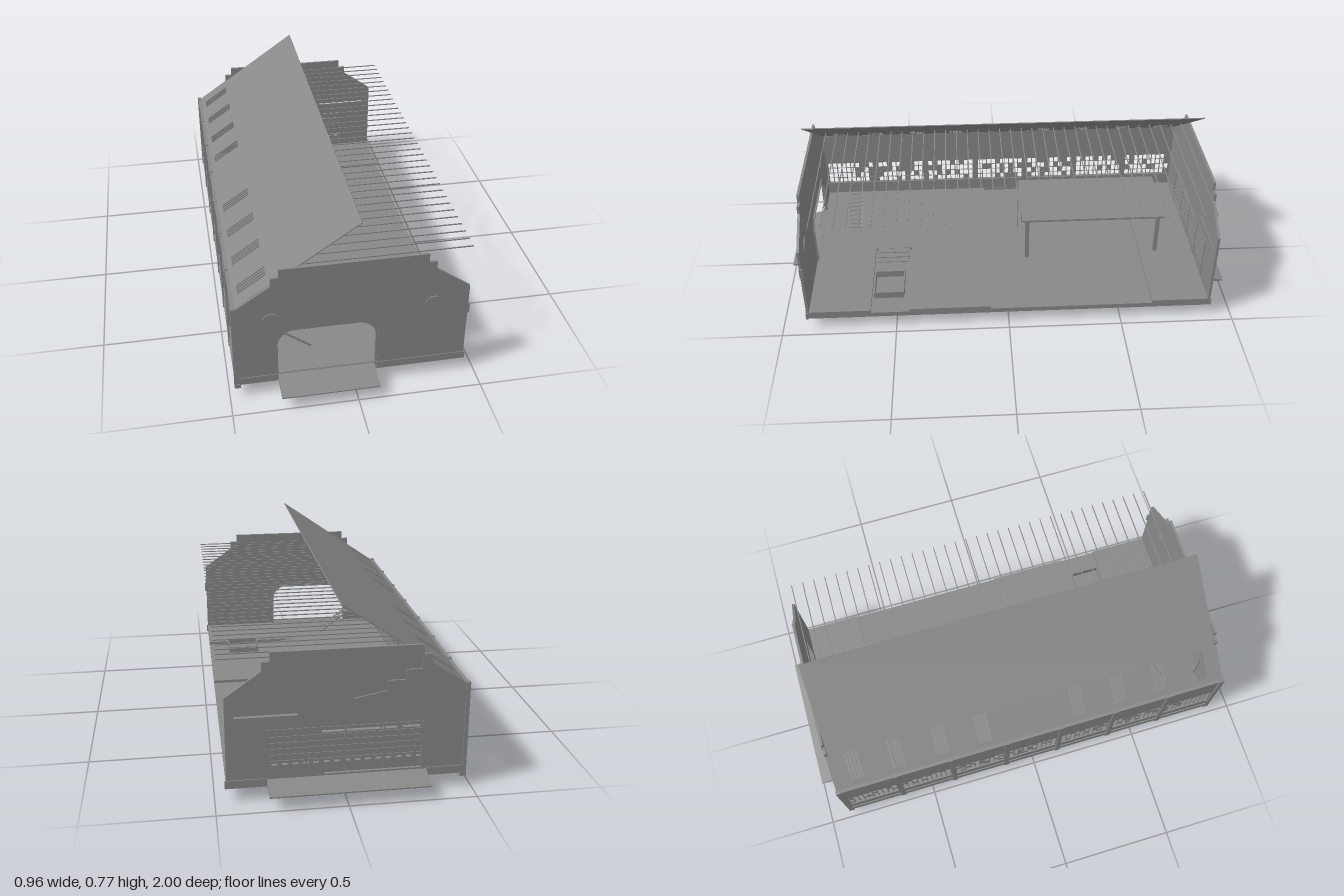
import * as THREE from 'three';

const mat = new THREE.MeshStandardMaterial({ color: 0x888888, flatShading: true, side: THREE.DoubleSide });

export function createModel() {
  const group = new THREE.Group();
  const add = (name, geo, parent = group) => {
    const m = new THREE.Mesh(geo, mat);
    m.name = name;
    parent.add(m);
    return m;
  };
  // box given by its min and max on each axis
  const box = (name, x0, x1, y0, y1, z0, z1, parent) => {
    const m = add(name, new THREE.BoxGeometry(x1 - x0, y1 - y0, z1 - z0), parent);
    m.position.set((x0 + x1) / 2, (y0 + y1) / 2, (z0 + z1) / 2);
    return m;
  };
  const poly = pts => new THREE.Shape(pts.map(p => new THREE.Vector2(p[0], p[1])));
  const rect = (a0, a1, b0, b1) => poly([[a0, b0], [a1, b0], [a1, b1], [a0, b1]]);
  const extrude = (shape, depth) => new THREE.ExtrudeGeometry(shape, { depth, bevelEnabled: false, curveSegments: 8 });
  const bar = (name, a, b, t, parent) => {
    const p = new THREE.Vector3(...a), q = new THREE.Vector3(...b);
    const m = add(name, new THREE.BoxGeometry(t, t, p.distanceTo(q)), parent);
    m.position.copy(p).add(q).multiplyScalar(0.5);
    m.lookAt(q);
    return m;
  };
  let seed = 7;
  const rand = () => (seed = (seed * 16807) % 2147483647) / 2147483647;

  // floor with raised ends and a recessed pit bay
  box('floor', -0.46, 0.455, 0.053, 0.075, -0.89, 0.88);
  box('raisedFloorFront', -0.46, 0.455, 0.07, 0.088, 0.08, 0.44);
  box('raisedFloorBay', -0.46, 0.02, 0.07, 0.088, 0.44, 0.61);
  box('raisedFloorEntry', -0.46, 0.455, 0.07, 0.088, 0.61, 0.88);
  box('raisedFloorBack', -0.46, 0.455, 0.07, 0.088, -0.89, -0.64);

  // stepped gable outline shared by both end walls
  const gable = () => poly([[-0.465, 0.055], [0.455, 0.055], [0.455, 0.425], [0.315, 0.525], [0.315, 0.56],
    [0.283, 0.56], [0.283, 0.598], [-0.295, 0.598], [-0.295, 0.56], [-0.327, 0.56], [-0.327, 0.525], [-0.465, 0.43]]);
  const arch = (x0, x1, y0, y1, r) => {
    const s = new THREE.Shape();
    s.moveTo(x0, y0);
    s.lineTo(x1, y0);
    s.lineTo(x1, y1 - r);
    s.absarc(x1 - r, y1 - r, r, 0, Math.PI / 2, false);
    s.lineTo(x0 + r, y1);
    s.absarc(x0 + r, y1 - r, r, Math.PI / 2, Math.PI, false);
    s.closePath();
    return s;
  };

  // front wall with arched gateway
  const front = gable();
  front.holes.push(arch(-0.312, 0.096, 0.088, 0.31, 0.075));
  add('frontWall', extrude(front, 0.011)).position.z = 0.88;
  const frame = arch(-0.312, 0.096, 0.088, 0.31, 0.075);
  frame.holes.push(arch(-0.304, 0.087, 0.09, 0.3, 0.07));
  add('gatewayFrame', extrude(frame, 0.014)).position.z = 0.874;
  for (const x of [-0.327, 0.315]) {
    const disc = add('roundWindow', new THREE.CylinderGeometry(0.037, 0.037, 0.019, 32));
    disc.rotation.x = Math.PI / 2;
    disc.position.set(x, 0.357, 0.8855);
  }
  box('frontPlinthLeft', 0.093, 0.461, 0.055, 0.088, 0.885, 0.894);
  box('frontPlinthRight', -0.465, -0.31, 0.055, 0.088, 0.885, 0.894);
  box('wallBracket', 0.455, 0.462, 0.29, 0.335, 0.875, 0.892);

  // back wall with narrow window slits
  const back = gable();
  back.holes.push(rect(-0.29, -0.22, 0.265, 0.274), rect(-0.2, 0.09, 0.265, 0.274));
  back.holes.push(rect(0.18, 0.42, 0.342, 0.35), rect(-0.3, 0.08, 0.09, 0.096));
  for (let i = 0; i < 15; i++) back.holes.push(rect(-0.3 + i * 0.04, -0.278 + i * 0.04, 0.139, 0.147));
  add('backWall', extrude(back, 0.011)).position.z = -0.901;
  const panel = new THREE.Group();
  panel.name = 'backWindowPanel';
  group.add(panel);
  for (const y of [0.155, 0.18, 0.205, 0.23, 0.255, 0.285])
    box('panelRail', -0.3, 0.3, y, y + 0.004, -0.904, -0.887, panel);
  for (const x of [-0.3, -0.15, 0, 0.15, 0.3])
    box('panelPost', x - 0.003, x + 0.003, 0.1, 0.29, -0.904, -0.886, panel);
  box('backPlinthLeft', 0.3, 0.461, 0.055, 0.088, -0.905, -0.9);
  box('backPlinthRight', -0.465, -0.32, 0.055, 0.088, -0.905, -0.9);

  // entry ramps at both ends
  const ramp = (name, x0, x1, sign) => {
    const m = add(name, extrude(poly([[0, 0.055], [0.112, 0.055], [0.112, 0.06], [0, 0.086]]), x1 - x0));
    m.rotation.y = -sign * Math.PI / 2;
    m.position.set(sign > 0 ? x1 : x0, 0, sign * 0.888);
  };
  ramp('frontRamp', -0.305, 0.085, 1);
  ramp('backRamp', -0.32, 0.3, -1);

  // window wall on the right: seven bays
  const bays = 7, z0 = -0.895, pitch = 1.78 / bays;
  const side = rect(-0.9, 0.89, 0.05, 0.428);
  const panes = new THREE.Group();
  panes.name = 'sideWindows';
  group.add(panes);
  for (let b = 0; b < bays; b++) {
    const a = z0 + b * pitch + 0.014, w = pitch - 0.028, cols = 10, rows = 4;
    side.holes.push(rect(a, a + w, 0.145, 0.265));
    for (let c = 1; c < cols; c++) {
      const z = a + w * c / cols;
      box('mullion', -0.47, -0.464, 0.145, 0.265, z - 0.002, z + 0.002, panes);
    }
    for (let r = 1; r < rows; r++)
      box('transom', -0.47, -0.464, 0.1445 + r * 0.03, 0.1455 + r * 0.03, a, a + w, panes);
    for (let c = 0; c < cols; c++) for (let r = 0; r < rows; r++) if (rand() < 0.3)
      box('closedPane', -0.469, -0.466, 0.145 + r * 0.03, 0.175 + r * 0.03, a + w * c / cols, a + w * (c + 1) / cols, panes);
  }
  const sideWall = add('sideWall', extrude(side, 0.01));
  sideWall.rotation.y = -Math.PI / 2;
  sideWall.position.x = -0.462;
  for (let b = 0; b <= bays; b++) {
    const z = z0 + b * pitch;
    box('pilaster', -0.48, -0.464, 0.045, 0.437, z - 0.01, z + 0.01);
    box('pilasterFoot', -0.48, -0.455, 0.042, 0.06, z - 0.013, z + 0.013);
  }
  box('sideBaseBeam', -0.477, -0.46, 0.05, 0.085, -0.9, 0.89);
  box('sideSillBeam', -0.475, -0.46, 0.138, 0.146, -0.9, 0.89);
  box('sideTopBeam', -0.477, -0.455, 0.418, 0.433, -0.9, 0.89);

  // single sloping roof plane with barred skylights
  const run = 0.487, rise = 0.337, len = Math.hypot(run, rise);
  const roof = new THREE.Group();
  roof.name = 'roof';
  const slab = rect(0, len, -0.882, 0.892);
  for (const z of [0.79, 0.603, 0.41, 0.217, -0.217, -0.41, -0.608, -0.796]) {
    slab.holes.push(rect(0.03, 0.165, -z - 0.029, -z + 0.029));
    for (const d of [-0.015, 0, 0.015])
      box('skylightBar', 0.03, 0.165, -z + d - 0.0015, -z + d + 0.0015, 0, 0.004, roof);
  }
  add('roofSlab', extrude(slab, 0.004), roof);
  const c = run / len, s = rise / len;
  const basis = new THREE.Matrix4().makeBasis(new THREE.Vector3(c, s, 0), new THREE.Vector3(0, 0, -1), new THREE.Vector3(-s, c, 0));
  roof.quaternion.setFromRotationMatrix(basis);
  roof.position.set(-0.466, 0.426, 0);
  group.add(roof);

  // open row of roof rods
  for (let i = 0; i < 34; i++) {
    const z = -0.866 + i * 0.0513;
    box('roofRod', -0.265, 0.478, 0.565, 0.569, z - 0.002, z + 0.002);
  }

  // raised platform on four posts
  box('platform', -0.21, 0.12, 0.292, 0.302, -0.74, -0.08);
  for (const x of [-0.183, 0.094]) for (const z of [-0.105, -0.715])
    box('platformPost', x - 0.009, x + 0.009, 0, 0.295, z - 0.009, z + 0.009);
  box('platformBox', -0.08, 0.02, 0.235, 0.292, -0.48, -0.4);

  // ladder up to the platform
  for (const x of [-0.042, -0.016]) box('ladderRail', x - 0.002, x + 0.002, 0.165, 0.302, -0.07, -0.066);
  for (let y = 0.175; y < 0.3; y += 0.016) box('ladderRung', -0.042, -0.016, y, y + 0.003, -0.07, -0.066);

  // stair flight inside the gateway
  for (const z of [0.69, 0.75]) bar('stairStringer', [-0.305, 0.205, z], [-0.15, 0.088, z], 0.006);
  for (let i = 0; i < 9; i++) {
    const t = (i + 0.5) / 9;
    box('stairTread', -0.305 + t * 0.155, -0.29 + t * 0.155, 0.203 - t * 0.117, 0.206 - t * 0.117, 0.69, 0.75);
  }

  // low pit kerb and steps on the floor
  const kerb = rect(0.21, 0.36, -0.6, -0.465);
  kerb.holes.push(rect(0.214, 0.356, -0.596, -0.469));
  const pit = add('pitKerb', extrude(kerb, 0.032));
  pit.rotation.x = -Math.PI / 2;
  pit.position.y = 0.075;
  for (let i = 0; i < 3; i++) box('floorStep', 0.02, 0.11 - i * 0.03, 0.075, 0.079 + i * 0.004, 0.45, 0.6);

  // stepped pipe on the back wall
  const path = [[-0.03, 0.395], [-0.16, 0.42], [-0.16, 0.46], [-0.23, 0.46], [-0.23, 0.5], [-0.29, 0.5], [-0.29, 0.545]];
  for (let i = 1; i < path.length; i++)
    bar('backPipe', [...path[i - 1], -0.904], [...path[i], -0.904], 0.007);

  return group;
}
